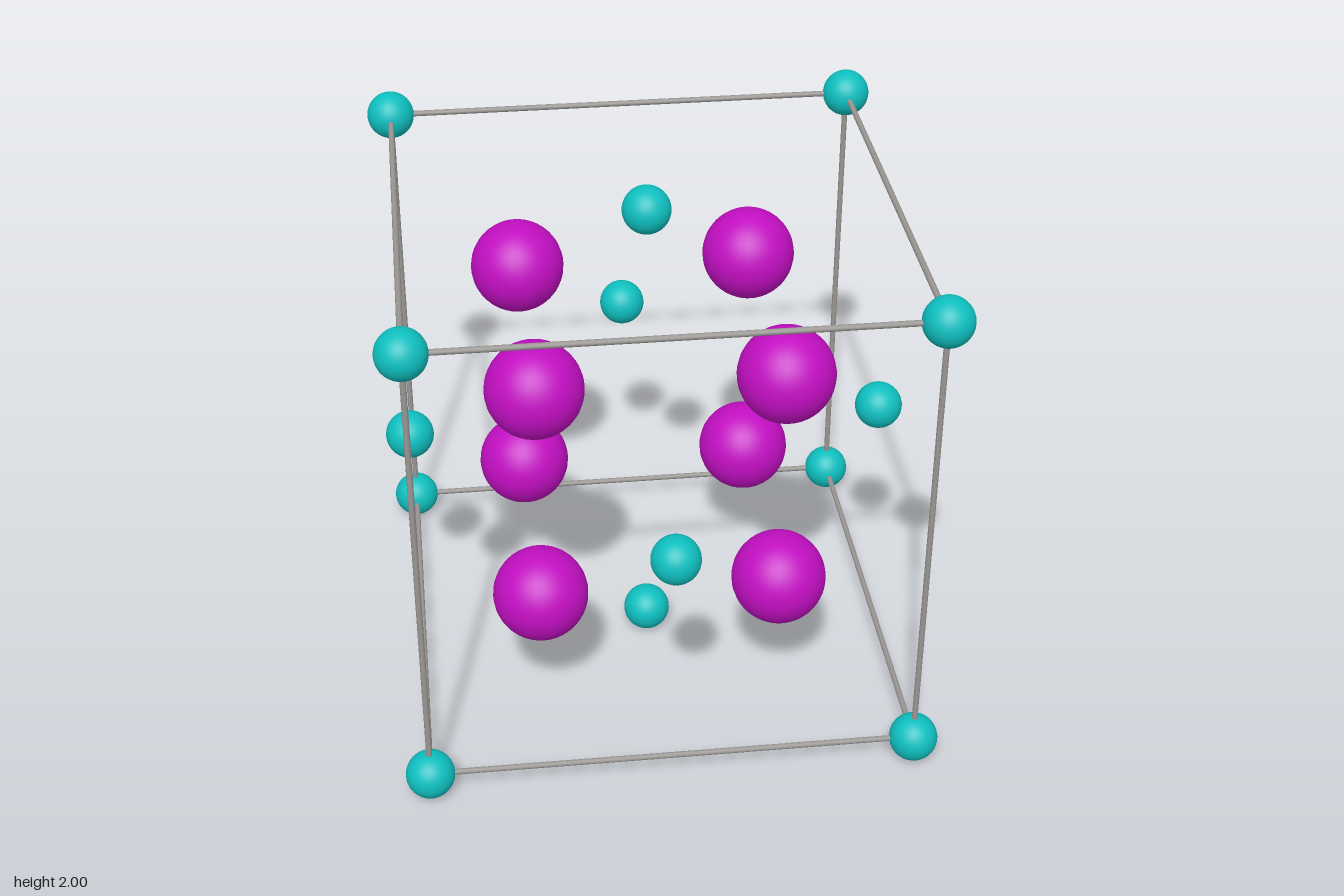
import * as THREE from 'three';

const HALF = 0.909;      // half the cell edge
const SMALL = 0.091;     // radius of corner and face spheres
const LARGE = 0.18;      // radius of inner spheres
const ROD = 0.011;       // radius of the frame rods

export function createModel() {
  const model = new THREE.Group();
  model.name = 'crystalCell';

  const teal = new THREE.MeshStandardMaterial({ color: 0x0fbfbf });
  teal.name = 'teal';
  const purple = new THREE.MeshStandardMaterial({ color: 0xc20fc2 });
  purple.name = 'purple';
  const grey = new THREE.MeshStandardMaterial({ color: 0x999693 });
  grey.name = 'grey';

  const smallSphere = new THREE.SphereGeometry(SMALL, 32, 24);
  const largeSphere = new THREE.SphereGeometry(LARGE, 32, 24);
  const rod = new THREE.CylinderGeometry(ROD, ROD, HALF * 2, 12);

  // The cell is laid out around its own centre, then lifted to stand on y = 0
  const cell = new THREE.Group();
  cell.name = 'cell';
  cell.position.y = HALF + SMALL;
  model.add(cell);

  const add = (name, geometry, material, [x, y, z]) => {
    const mesh = new THREE.Mesh(geometry, material);
    mesh.name = name;
    mesh.position.set(x, y, z);
    cell.add(mesh);
    return mesh;
  };

  const signs = [-1, 1];

  // Corner spheres and the eight inner spheres
  for (const x of signs) for (const y of signs) for (const z of signs) {
    add('cornerSphere', smallSphere, teal, [x * HALF, y * HALF, z * HALF]);
    add('innerSphere', largeSphere, purple, [x * HALF / 2, y * HALF / 2, z * HALF / 2]);
  }

  for (let axis = 0; axis < 3; axis++) {
    // Sphere at the middle of each face
    for (const s of signs) {
      const p = [0, 0, 0];
      p[axis] = s * HALF;
      add('faceSphere', smallSphere, teal, p);
    }
    // Four frame rods parallel to this axis
    for (const a of signs) for (const b of signs) {
      const p = [0, 0, 0];
      p[(axis + 1) % 3] = a * HALF;
      p[(axis + 2) % 3] = b * HALF;
      const mesh = add('frameRod', rod, grey, p);
      if (axis === 0) mesh.rotation.z = Math.PI / 2;
      if (axis === 2) mesh.rotation.x = Math.PI / 2;
    }
  }
  return model;
}
